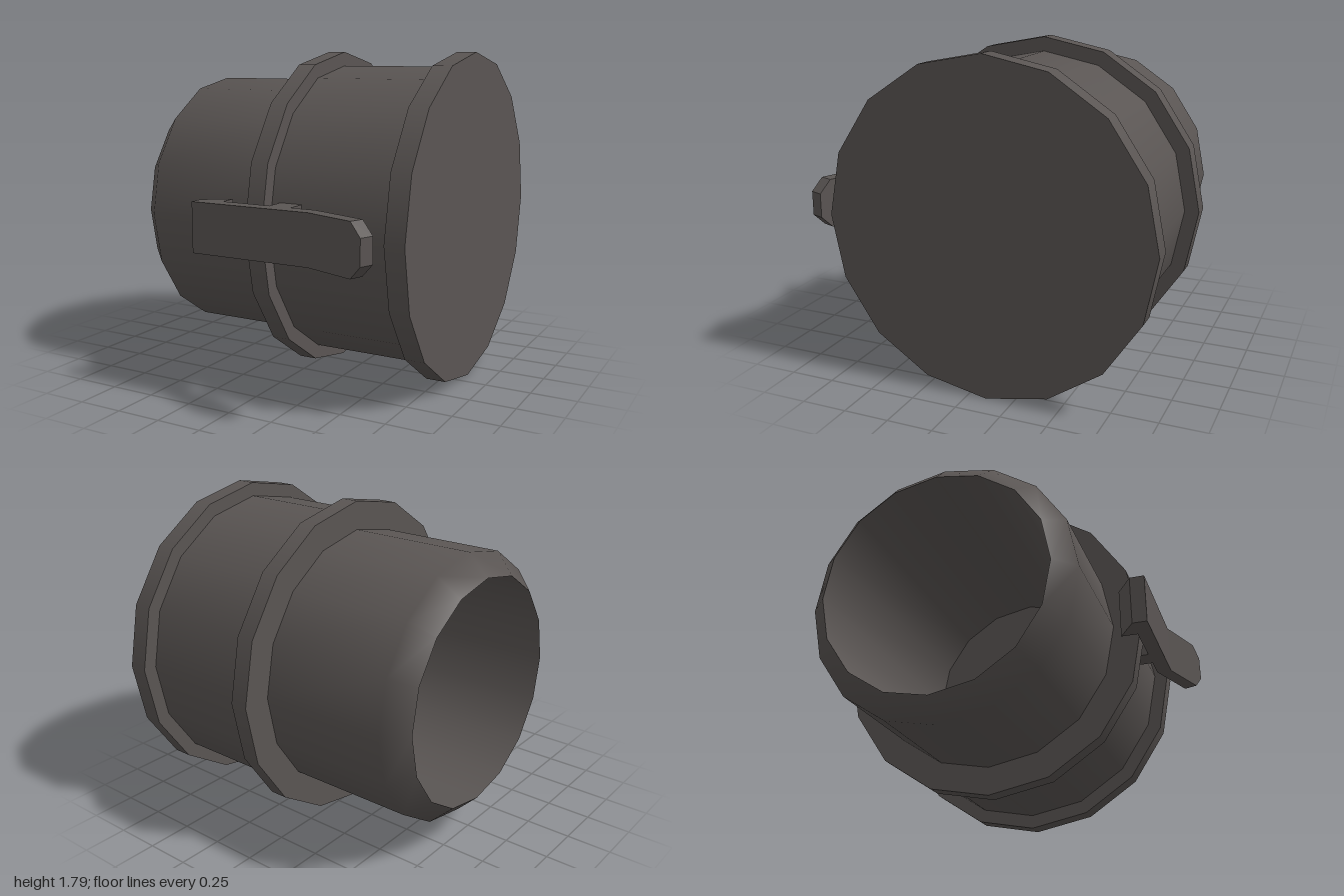
import * as THREE from 'three';
import { mergeGeometries } from 'three/addons/utils/BufferGeometryUtils.js';
import { ConvexGeometry } from 'three/addons/geometries/ConvexGeometry.js';

const SIDES = 16;
const AXIS_Y = 0.895, AXIS_Z = -0.105;

export function createModel() {
  const model = new THREE.Group();
  model.name = 'cappedSleeve';
  const darkGrey = new THREE.MeshStandardMaterial({ color: 0x5a5553 });
  darkGrey.name = 'dark grey';

  const add = (name, geometry, parent = model) => {
    const mesh = new THREE.Mesh(geometry, darkGrey);
    mesh.name = name;
    parent.add(mesh);
    return mesh;
  };

  // Turned part along x: each run of [radius, x] points is smooth, runs meet in sharp edges
  const turned = (name, ...runs) => {
    const parts = runs.map(run =>
      new THREE.LatheGeometry(run.map(([r, x]) => new THREE.Vector2(r, x)), SIDES));
    const geometry = mergeGeometries(parts);
    geometry.rotateZ(-Math.PI / 2);
    geometry.translate(0, AXIS_Y, AXIS_Z);
    return add(name, geometry);
  };

  // Open sleeve with a chamfered mouth
  turned('sleeve', [[0.625, -0.86], [0.738, -0.745], [0.738, -0.03]]);
  turned('bore', [[0, 0.74], [0.625, 0.74]], [[0.625, 0.74], [0.625, -0.86]]);

  // Middle collar, cap barrel and closed end flange
  const ring = (name, r, inner, x0, x1, innerEnd) => turned(name,
    [[inner, x0], [r, x0]], [[r, x0], [r, x1]], [[r, x1], [innerEnd, x1]]);
  ring('collar', 0.895, 0.738, -0.03, 0.07, 0.817);
  turned('barrel', [[0.817, 0.07], [0.817, 0.75]]);
  ring('endFlange', 0.895, 0.817, 0.75, 0.858, 0);

  // Latch lever: side profile in x and z, extruded through its height
  const latch = new THREE.Group();
  latch.name = 'latch';
  model.add(latch);
  const low = 0.765, high = 1.035;
  const profile = new THREE.Shape([
    [-0.3, 0.79], [-0.16, 0.70], [-0.16, 0.79], [0.12, 0.79], [0.12, 0.685],
    [0.245, 0.685], [0.245, 0.79], [0.385, 0.79], [0.695, 0.90], [0.668, 0.973],
    [0.385, 0.87], [-0.3, 0.87],
  ].map(([x, z]) => new THREE.Vector2(x, z)));
  const lever = new THREE.ExtrudeGeometry(profile, { depth: high - low, bevelEnabled: false });
  lever.rotateX(Math.PI / 2);
  lever.translate(0, high, 0);
  add('lever', lever, latch);

  // Tapered finger tip
  const tip = [];
  for (const [x, z, y0, y1] of [
    [0.695, 0.90, low, high], [0.668, 0.973, low, high],
    [0.76, 0.924, 0.833, 0.967], [0.732, 0.997, 0.833, 0.967],
  ]) tip.push(new THREE.Vector3(x, y0, z), new THREE.Vector3(x, y1, z));
  add('leverTip', new ConvexGeometry(tip), latch);

  return model;
}
